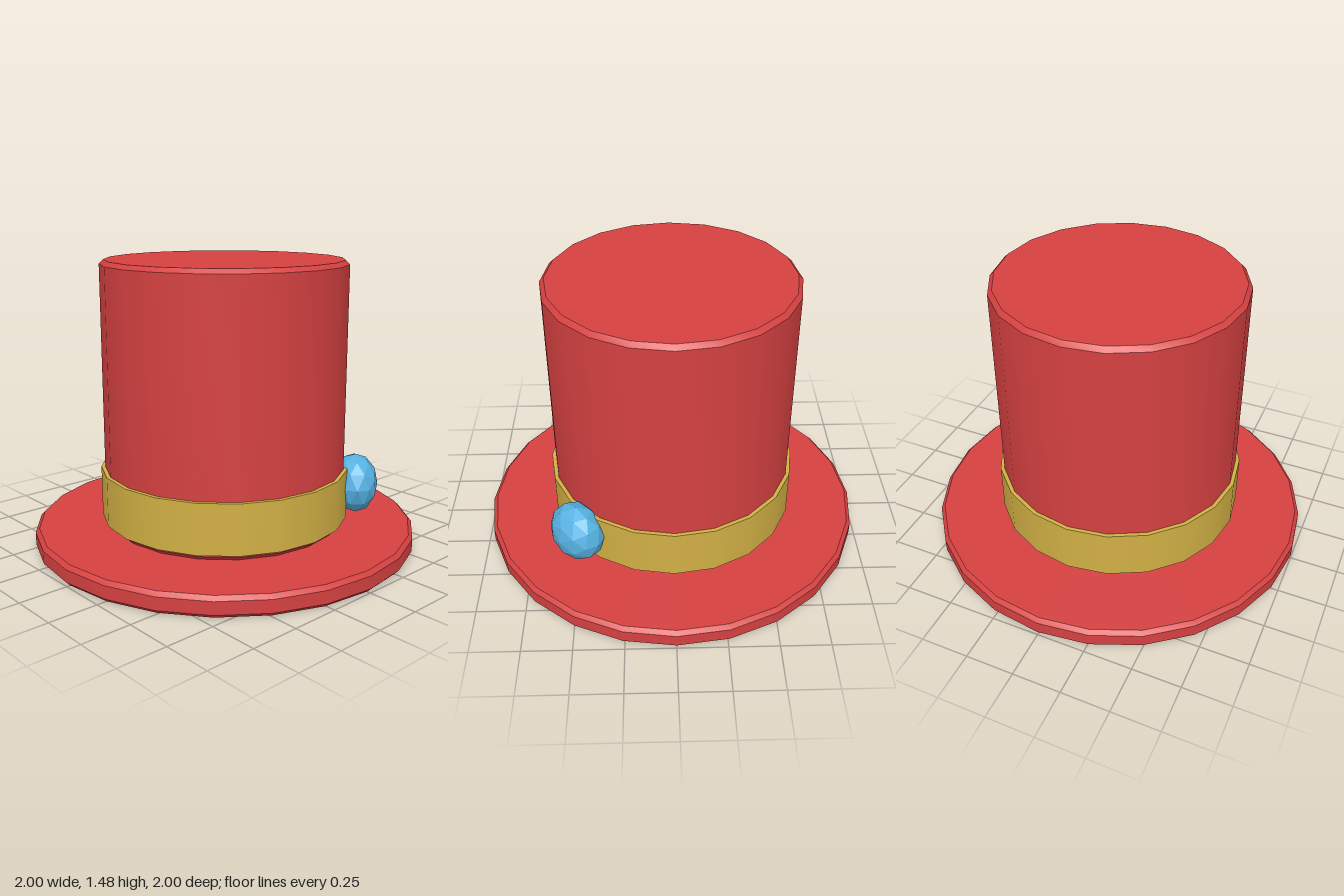
import * as THREE from 'three';
import { toCreasedNormals } from 'three/addons/utils/BufferGeometryUtils.js';

const material = (name, color) => {
  const m = new THREE.MeshStandardMaterial({ color });
  m.name = name;
  return m;
};

// closed disc or drum with chamfered rims
function chamferedDrum(radius, bottom, top, chamfer, sides) {
  const profile = [
    [0, bottom], [radius - chamfer, bottom], [radius, bottom + chamfer],
    [radius, top - chamfer], [radius - chamfer, top], [0, top],
  ].map(([x, y]) => new THREE.Vector2(x, y));
  return toCreasedNormals(new THREE.LatheGeometry(profile, sides), Math.PI / 6);
}

export function createModel() {
  const red = material('red felt', 0xd64141);
  const gold = material('gold ribbon', 0xd2b045);
  const blue = material('blue ornament', 0x56b2e2);
  const hat = new THREE.Group();
  hat.name = 'topHat';

  const add = (name, geometry, mat) => {
    const mesh = new THREE.Mesh(geometry, mat);
    mesh.name = name;
    hat.add(mesh);
    return mesh;
  };

  add('brim', chamferedDrum(1, 0, 0.105, 0.02, 24), red);
  add('crown', chamferedDrum(0.63, 0.105, 1.475, 0.022, 20), red);

  // ribbon wrapped around the foot of the crown
  const band = add('band', new THREE.CylinderGeometry(0.65, 0.65, 0.26, 20), gold);
  band.position.y = 0.27;

  // faceted bauble on the back corner, flattened against the band
  const bead = new THREE.IcosahedronGeometry(1, 1);
  bead.scale(0.157, 0.157, 0.12);
  bead.computeVertexNormals();
  const ornament = add('ornament', bead, blue);
  ornament.position.set(0.49, 0.298, -0.49);
  ornament.rotation.y = Math.PI * 0.75;

  return hat;
}
